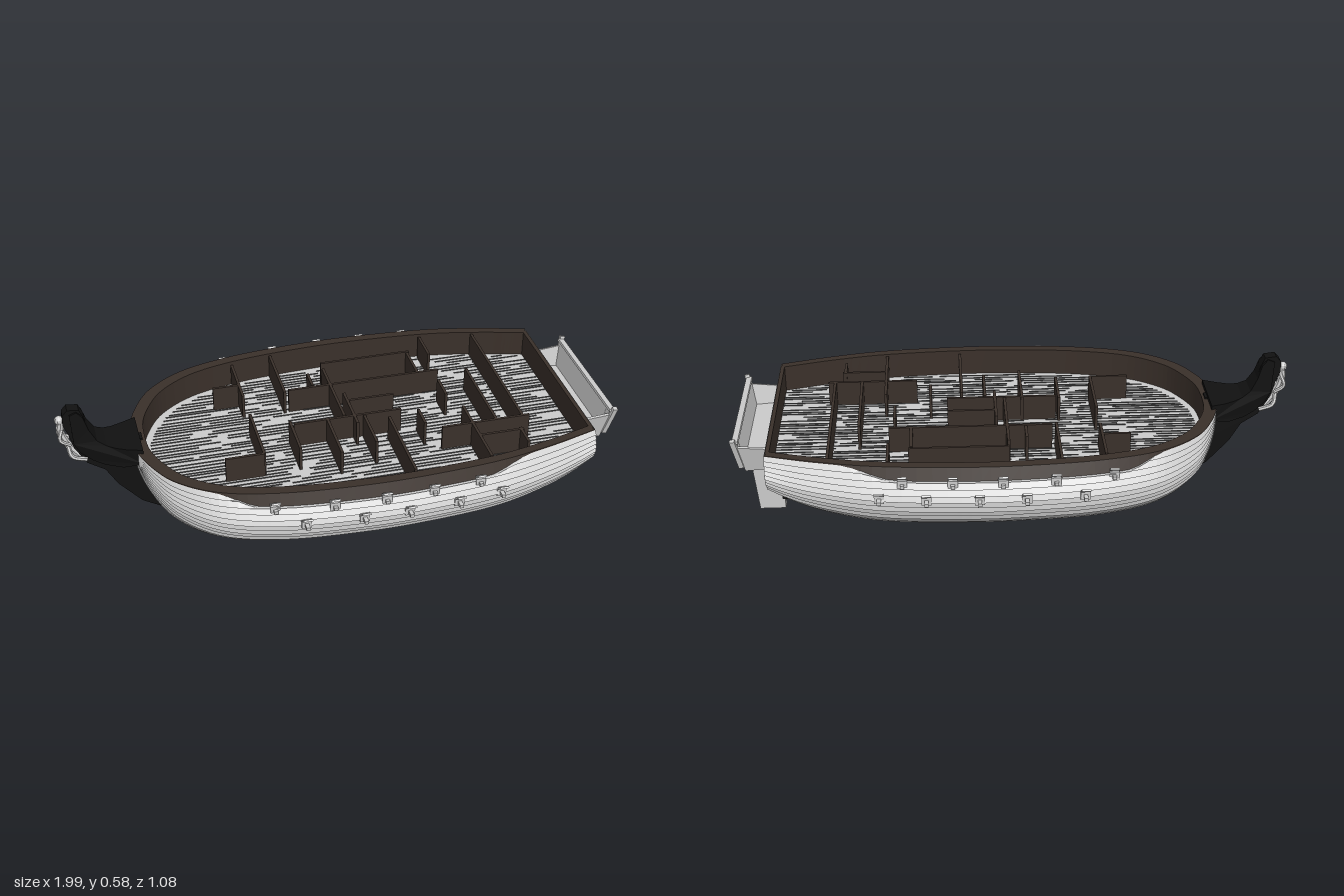
import * as THREE from 'three';

const V = (x, y, z) => new THREE.Vector3(x, y, z);
const mat = (color, side = THREE.FrontSide) => new THREE.MeshStandardMaterial({ color, side, flatShading: true });
const TOP = 0.415, DECK = 0.315, STERN = 0.87;

// Half-section shape: height fraction -> beam fraction
const U = [0, 0.03, 0.065, 0.105, 0.15, 0.21, 0.31, 0.42, 0.56, 0.7, 0.85, 1];
const F = [0, 0.2, 0.39, 0.5, 0.59, 0.69, 0.8, 0.885, 0.96, 1, 0.98, 0.94];
function beamAt(u) {
  let i = 0;
  while (i < U.length - 2 && u > U[i + 1]) i++;
  return F[i] + (F[i + 1] - F[i]) * (u - U[i]) / (U[i + 1] - U[i]);
}

// Stations along the hull: x, keel height, greatest half beam
const lines = new THREE.CatmullRomCurve3([
  [-0.735, 0.38, 0], [-0.728, 0.3, 0.1], [-0.695, 0.22, 0.2], [-0.63, 0.14, 0.31],
  [-0.5, 0.075, 0.41], [-0.3, 0.046, 0.47], [0, 0.04, 0.5], [0.2, 0.04, 0.5],
  [0.5, 0.05, 0.475], [0.7, 0.09, 0.43], [0.8, 0.13, 0.4], [STERN, 0.175, 0.378]
].map(p => V(...p)), false, 'centripetal');
const stations = lines.getPoints(66);

// The planking dips amidships below the level bulwark
const dip = x => 1 - 0.12 * THREE.MathUtils.smoothstep(x, -0.52, -0.36) * (1 - THREE.MathUtils.smoothstep(x, 0.42, 0.62));
const hullPoint = (s, u, out = 0) => V(s.x, s.y + u * (TOP - s.y), s.z * beamAt(u) + out * Math.min(1, s.z / 0.2));

// Skin through equal-length rows of points
function loft(rows) {
  const pos = rows.flat().flatMap(p => [p.x, p.y, p.z]), idx = [], n = rows[0].length;
  for (let i = 0; i < rows.length - 1; i++) for (let j = 0; j < n - 1; j++) {
    const a = i * n + j, b = a + n;
    idx.push(a, b, b + 1, a, b + 1, a + 1);
  }
  const g = new THREE.BufferGeometry();
  g.setAttribute('position', new THREE.Float32BufferAttribute(pos, 3));
  g.setIndex(idx);
  g.computeVertexNormals();
  return g;
}
const mirrored = pts => pts.map(p => V(p.x, p.y, -p.z)).reverse();
const shapeOf = pts => new THREE.Shape(pts.map(p => new THREE.Vector2(...p)));
function slab(pts, depth) {
  const g = new THREE.ExtrudeGeometry(shapeOf(pts), { depth, bevelEnabled: false });
  return g.translate(0, 0, -depth / 2);
}

export function createModel() {
  const ship = new THREE.Group();
  const grey = mat(0xcccccc), greyBoth = mat(0xcccccc, THREE.DoubleSide);
  const brown = mat(0x3a302a), brownBoth = mat(0x3a302a, THREE.DoubleSide);
  const black = mat(0x111111), seam = mat(0x4a4a4a);
  const add = (name, geo, m, parent = ship) => {
    const mesh = new THREE.Mesh(geo, m);
    mesh.name = name;
    parent.add(mesh);
    return mesh;
  };
  const group = name => { const g = new THREE.Group(); g.name = name; ship.add(g); return g; };
  const box = (name, m, w, h, d, x, y, z, parent) => {
    const b = add(name, new THREE.BoxGeometry(w, h, d), m, parent);
    b.position.set(x, y, z);
    return b;
  };

  // Hull: smooth bottom, overlapping strakes above
  const halfSection = s => {
    const lim = dip(s.x), pts = U.slice(0, 8).map(u => hullPoint(s, u));
    const n = 9, step = 0.58 / n;
    for (let k = 0; k < n; k++) {
      const u = 0.42 + k * step;
      pts.push(hullPoint(s, Math.min(u + 0.004, lim), 0.011), hullPoint(s, Math.min(u + step, lim)));
    }
    return pts;
  };
  const fullSection = s => { const h = halfSection(s); return [...mirrored(h.slice(1)), ...h]; };
  add('hull', loft(stations.map(fullSection)), greyBoth);

  // Flat transom with a few planks
  const end = fullSection(stations[stations.length - 1]);
  const transom = new THREE.ShapeGeometry(shapeOf(end.map(p => [p.z, p.y]))).rotateY(Math.PI / 2);
  add('transom', transom, greyBoth).position.x = STERN;
  [[0.215, 0.44], [0.24, 0.54], [0.265, 0.6], [0.29, 0.65], [0.315, 0.67]].forEach(([y, w]) =>
    box('transomPlank', grey, 0.008, 0.014, w, STERN + 0.003, y, 0));

  // Bulwark: outer band, rail top and inner wall
  const inner = p => V(STERN - 0.015 + (p.x - STERN) * 0.963, p.y, p.z * 0.925);
  const bulwark = s => {
    const low = hullPoint(s, dip(s.x) - 0.01, 0.002), top = hullPoint(s, 1, 0.002), within = inner(top);
    return [low, top, within, V(within.x, DECK - 0.01, within.z)];
  };
  const rows = stations.map(bulwark);
  add('bulwarkLeft', loft(rows), brownBoth);
  add('bulwarkRight', loft(rows.map(mirrored)), brownBoth);
  box('sternBulwark', brown, 0.014, TOP - DECK, 0.69, 0.861, (TOP + DECK) / 2, 0);

  // Deck with plank seams
  const edge = rows.map(r => [r[3].x, r[3].z]);
  const deckShape = shapeOf([...edge, ...edge.slice(1).reverse().map(([x, z]) => [x, -z])]);
  add('deck', new THREE.ShapeGeometry(deckShape).rotateX(-Math.PI / 2), greyBoth).position.y = DECK;
  const seams = group('deckSeams');
  let seed = 7;
  const rand = () => (seed = (seed * 16807) % 2147483647) / 2147483647;
  for (let z = -0.414; z < 0.42; z += 0.018) {
    const inside = edge.filter(e => e[1] > Math.abs(z) + 0.01);
    const x1 = inside[inside.length - 1][0];
    for (let x = inside[0][0] + 0.02; x < x1 - 0.03;) {
      const len = Math.min(0.1 + rand() * 0.35, x1 - x);
      box('seam', seam, len, 0.003, 0.005, x + len / 2, DECK + 0.001, z + (rand() - 0.5) * 0.008, seams);
      x += len + 0.02 + rand() * 0.08;
    }
  }

  // Cabin partitions: [x, z start, z end] across and [z, x start, x end] along
  const walls = group('partitions'), wallY = (DECK + 0.41) / 2, wallH = 0.41 - DECK;
  [[-0.3, -0.39, -0.17], [-0.3, -0.05, 0.2], [-0.145, -0.42, -0.16], [-0.17, 0.03, 0.2], [-0.035, -0.26, -0.18],
    [-0.035, 0.04, 0.26], [0.03, -0.28, 0.04], [0.065, -0.1, 0.1], [0.1, 0.06, 0.23], [0.185, 0.09, 0.42],
    [0.3, 0.07, 0.16], [0.37, -0.31, -0.17], [0.43, -0.1, 0], [0.45, -0.41, -0.28], [0.465, 0.09, 0.41],
    [0.555, -0.15, 0.2], [0.62, 0.27, 0.36], [0.655, -0.38, 0.2]
  ].forEach(([x, a, b]) => box('crossWall', brown, 0.01, wallH, b - a, x, wallY, (a + b) / 2, walls));
  [[-0.32, 0.03, 0.38], [-0.17, -0.13, 0.45], [-0.05, 0.06, 0.24], [0.05, -0.16, 0.24], [0.2, 0.35, 0.68],
    [0.28, 0.47, 0.63], [0.2, -0.44, -0.3], [-0.25, -0.4, -0.3]
  ].forEach(([z, a, b]) => box('longWall', brown, b - a, wallH, 0.01, (a + b) / 2, wallY, z, walls));

  // Keel, stem and curled prow in one thin timber
  add('keelAndStem', slab([
    [0.86, 0.04], [0.2, 0.02], [-0.3, 0.03], [-0.5, 0.05], [-0.6, 0.08], [-0.72, 0.15], [-0.8, 0.24], [-0.84, 0.31],
    [-0.9, 0.35], [-0.94, 0.42], [-0.955, 0.48], [-0.97, 0.52], [-0.968, 0.56], [-0.95, 0.58], [-0.91, 0.575],
    [-0.895, 0.54], [-0.88, 0.47], [-0.84, 0.43], [-0.7, 0.42], [-0.69, 0.3], [-0.66, 0.22], [-0.58, 0.14],
    [-0.45, 0.08], [-0.2, 0.055], [0.3, 0.055], [0.5, 0.065], [0.7, 0.11], [0.8, 0.15], [0.86, 0.2]
  ], 0.04), black);

  // Flared beak between prow and bow
  const beak = slab([
    [-0.71, 0.37], [-0.71, 0.43], [-0.76, 0.428], [-0.8, 0.43], [-0.83, 0.437], [-0.86, 0.455], [-0.885, 0.5],
    [-0.9, 0.55], [-0.92, 0.57], [-0.945, 0.56], [-0.94, 0.44], [-0.92, 0.4], [-0.88, 0.37], [-0.84, 0.355], [-0.78, 0.35]
  ], 2);
  const bp = beak.attributes.position;
  for (let i = 0; i < bp.count; i++) {
    const t = THREE.MathUtils.clamp((bp.getX(i) + 0.92) / 0.2, 0, 1);
    bp.setZ(i, bp.getZ(i) * (0.026 + 0.08 * t ** 1.15));
  }
  beak.computeVertexNormals();
  add('beak', beak, black);

  // Carved figure on the prow
  const figure = group('figurehead');
  const bodyPath = new THREE.CatmullRomCurve3([V(-0.975, 0.53, 0), V(-0.98, 0.48, 0), V(-0.955, 0.42, 0), V(-0.91, 0.36, 0)]);
  add('figureBody', new THREE.TubeGeometry(bodyPath, 12, 0.014, 8), grey, figure);
  add('figureHead', new THREE.SphereGeometry(0.017, 10, 8), grey, figure).position.set(-0.98, 0.532, 0);
  for (const s of [1, -1]) {
    const arm = new THREE.CatmullRomCurve3([V(-0.975, 0.5, s * 0.012), V(-0.985, 0.465, s * 0.026), V(-0.95, 0.44, s * 0.026)]);
    const leg = new THREE.CatmullRomCurve3([V(-0.96, 0.43, s * 0.01), V(-0.95, 0.39, s * 0.026), V(-0.9, 0.37, s * 0.026)]);
    add('figureArm', new THREE.TubeGeometry(arm, 8, 0.007, 6), grey, figure);
    add('figureLeg', new THREE.TubeGeometry(leg, 8, 0.008, 6), grey, figure);
  }

  // Gun ports in two staggered rows, lids propped open
  const ports = group('gunPorts');
  const upper = [-0.32, -0.12, 0.06, 0.23, 0.4], lower = [-0.22, -0.02, 0.14, 0.32, 0.48];
  for (const s of [1, -1]) for (const [xs, y, out] of [[upper, 0.36, 0.006], [lower, 0.305, 0.02]]) for (const x of xs) {
    const st = stations.reduce((a, b) => Math.abs(b.x - x) < Math.abs(a.x - x) ? b : a);
    const z = st.z * beamAt((y - st.y) / (TOP - st.y));
    box('portFrame', grey, 0.034, 0.032, 0.02, x, y, s * z, ports);
    box('portLid', grey, 0.032, 0.007, 0.038, x, y + 0.024, s * (z + out), ports).rotation.x = -s * 0.6;
    box('gunMuzzle', grey, 0.014, 0.012, 0.036, x, y - 0.002, s * (z + out - 0.002), ports);
  }

  // Stern gallery: floor, windowed back, raked sides and brackets
  const gallery = group('sternGallery');
  box('galleryFloor', grey, 0.1, 0.012, 0.44, 0.918, 0.312, 0, gallery).rotation.z = -0.08;
  const columns = [-0.15, -0.05, 0.05, 0.15];
  const panel = shapeOf([[-0.225, 0], [0.225, 0], [0.25, 0.11], [-0.25, 0.11]]);
  for (const c of columns)
    panel.holes.push(new THREE.Path([[-0.038, 0.02], [-0.043, 0.092], [0.043, 0.092], [0.038, 0.02]]
      .map(([a, b]) => new THREE.Vector2(c + a, b))));
  const back = new THREE.Group();
  back.name = 'galleryBack';
  back.position.set(0.955, 0.302, 0);
  back.rotation.z = -0.17;
  gallery.add(back);
  add('windowFrame', new THREE.ExtrudeGeometry(panel, { depth: 0.012, bevelEnabled: false }).rotateY(Math.PI / 2), grey, back);
  box('windowPane', grey, 0.003, 0.09, 0.44, 0.001, 0.058, 0, back);
  box('galleryRail', grey, 0.022, 0.01, 0.51, 0.006, 0.11, 0, back);
  for (const c of columns) box('windowSill', grey, 0.008, 0.008, 0.05, 0.006, 0.035, c, back);
  for (const s of [1, -1]) {
    const side = add('gallerySide', slab([[0.86, 0.31], [0.955, 0.302], [0.975, 0.41], [0.86, 0.4]], 0.01), grey, gallery);
    side.position.set(0, -0.01, s * 0.157);
    side.rotation.x = s * 0.22;
    box('galleryPost', grey, 0.018, 0.125, 0.016, 0.977, 0.362, s * 0.245, gallery).rotation.set(s * 0.25, 0, -0.17);
    for (const [z, low] of [[0.045, 0.195], [0.09, 0.205], [0.145, 0.228]]) {
      const outline = [[0.865, low], [0.88, low], [0.9, 0.27], [0.95, 0.31], [0.865, 0.31]];
      add('bracket', slab(outline, 0.012), grey, gallery).position.z = s * z;
    }
  }

  // Rudder
  add('rudder', slab([[0.85, 0], [0.945, 0], [0.965, 0.205], [0.937, 0.23], [0.932, 0.295], [0.872, 0.295], [0.856, 0.21]], 0.034), grey);
  return ship;
}
